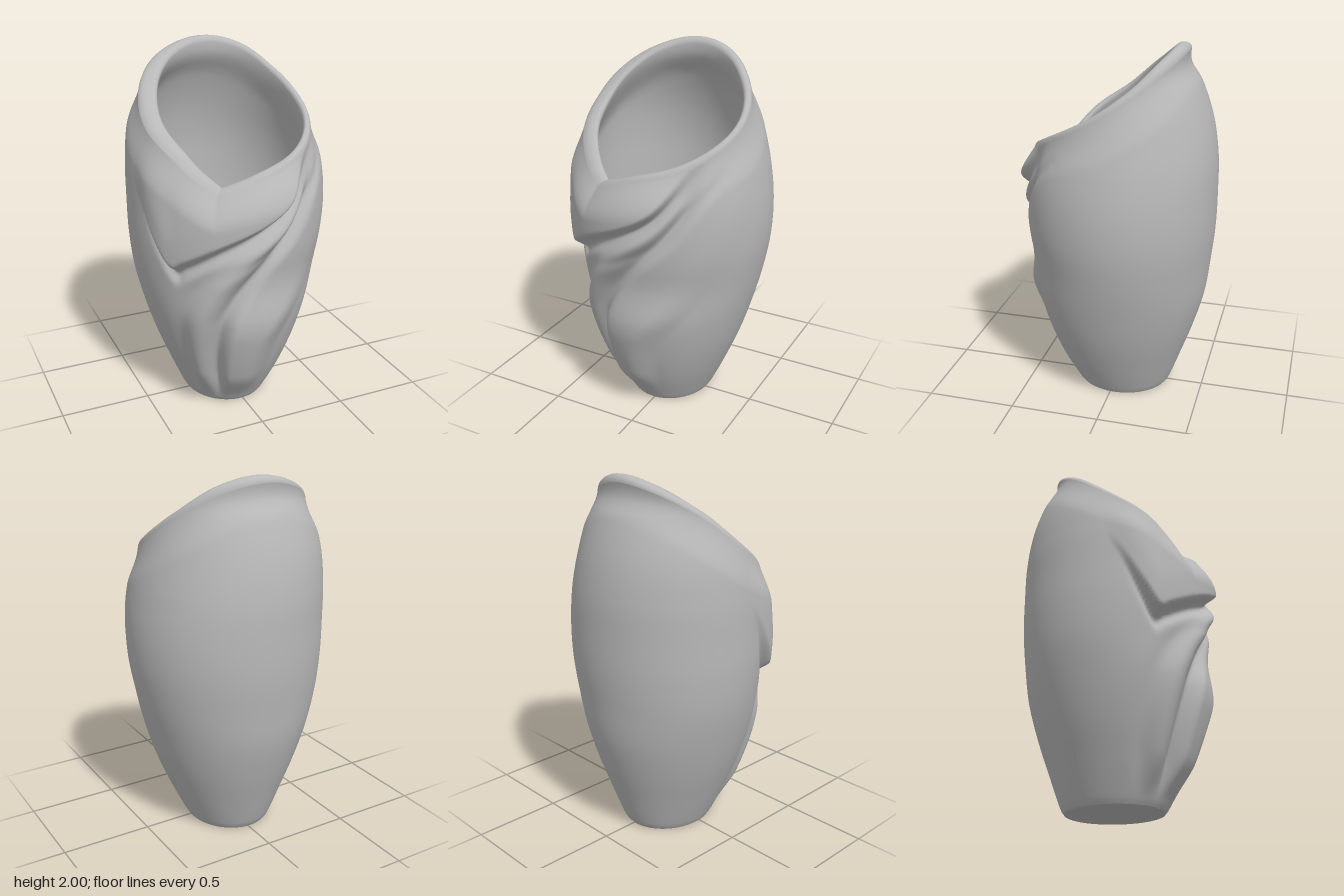
import * as THREE from 'three';

const DEG = Math.PI / 180;
const { smoothstep, lerp } = THREE.MathUtils;
const gauss = (d, w) => Math.exp(-(d * d) / (w * w));

// Smooth interpolation through rows of [key, value, value, ...]
function sample(rows, k, col = 1) {
  const n = rows.length - 1;
  k = Math.min(Math.max(k, rows[0][0]), rows[n][0]);
  let i = 0;
  while (i < n - 1 && k > rows[i + 1][0]) i++;
  const slope = (p, q) => (rows[q][col] - rows[p][col]) / (rows[q][0] - rows[p][0]);
  const m0 = slope(Math.max(i - 1, 0), i + 1);
  const m1 = slope(i, Math.min(i + 2, n));
  const h = rows[i + 1][0] - rows[i][0];
  const t = (k - rows[i][0]) / h, t2 = t * t, t3 = t2 * t;
  return (2 * t3 - 3 * t2 + 1) * rows[i][col] + (t3 - 2 * t2 + t) * h * m0
    + (3 * t2 - 2 * t3) * rows[i + 1][col] + (t3 - t2) * h * m1;
}

// Body cross-sections: height, centre x, centre z, radius x, radius z
const BODY = [
  [0, -0.012, -0.025, 0.228, 0.262], [0.025, -0.012, -0.025, 0.243, 0.28],
  [0.2, -0.009, -0.012, 0.322, 0.357], [0.4, -0.008, -0.01, 0.402, 0.428],
  [0.6, -0.008, -0.014, 0.464, 0.478], [0.8, -0.006, -0.024, 0.512, 0.494],
  [1, 0, -0.022, 0.54, 0.515], [1.2, 0, -0.02, 0.545, 0.52],
  [1.4, -0.012, -0.02, 0.532, 0.513], [1.6, -0.025, -0.02, 0.5, 0.478],
  [1.8, -0.02, 0, 0.457, 0.428], [1.9, -0.01, 0, 0.423, 0.37], [2, 0, 0, 0.4, 0.34],
];
const LIP_OUT = [0, -0.025, 0.048, 0.462, 0.416];
const LIP_TOP = [0, 0.003, 0.047, 0.412, 0.372];
const LIP_IN = [0, 0.005, 0.055, 0.39, 0.345];

// Rim height by angle from the front, starting and ending at the pointed notch
const NOTCH = -28;
const RIM = [
  [-28, 1.36], [0, 1.43], [30, 1.495], [60, 1.585], [90, 1.69], [120, 1.82], [150, 1.95],
  [180, 2], [210, 1.955], [240, 1.84], [270, 1.68], [300, 1.545], [315, 1.455], [332, 1.36],
];
// Lower edge of the wrapped collar: angle, height
const COLLAR = [
  [-95, 1.5], [-75, 1.25], [-62, 1.04], [-52, 0.91], [-45, 0.94], [-25, 1.04],
  [0, 1.15], [12, 1.22], [28, 1.36], [42, 1.48], [58, 1.6],
];
// Crease and ridge of the large diagonal fold: height, angle
const CREASE = [[0, -30], [0.3, -31], [0.6, -25], [0.75, -15], [0.92, 0], [1.12, 21], [1.4, 42], [1.6, 58]];
const RIDGE = [[0, 0], [0.3, 0], [0.5, 6], [0.72, 24], [1, 45], [1.3, 65], [1.6, 80]];

// Outward displacement of the drapery folds
function folds(deg, y) {
  if (deg > 180) deg -= 360;
  if (deg < -100 || deg > 110) return 0;
  const arc = 0.5 * DEG;
  const low = smoothstep(y, 0.02, 0.25);
  // collar roll with an undercut beneath it
  const d1 = y - sample(COLLAR, deg);
  const side = smoothstep(deg, -84, -54) * (1 - smoothstep(deg, 12, 62));
  let out = side * 0.047 * smoothstep(d1, -0.012, 0.05) * (1 - 0.5 * smoothstep(d1, 0.15, 0.5));
  const under = smoothstep(deg, -75, -50) * (1 - smoothstep(deg, 35, 66));
  out -= under * 0.03 * gauss(d1 + 0.025, 0.04);
  // narrow secondary roll below the collar
  const right = smoothstep(deg, -35, 10) * (1 - smoothstep(deg, 45, 68));
  out -= right * 0.014 * gauss(d1 + 0.15, 0.035);
  // large fold between the crease and the ridge
  const d2 = (deg - sample(CREASE, y)) * arc;
  const d3 = (deg - sample(RIDGE, y)) * arc;
  const high = 1 - smoothstep(y, 1.25, 1.6);
  const swell = low * high * lerp(0.046, 0.006, smoothstep(y, 0.5, 0.9));
  out += swell * smoothstep(d2, -0.01, 0.09) * (1 - smoothstep(d3, -0.06, 0.16));
  out -= low * high * 0.03 * gauss(d2 + 0.01, 0.045);
  // panel between the collar and the large fold
  const below = low * (1 - smoothstep(d1, -0.05, 0));
  out += below * 0.033 * gauss(d2 + 0.13, 0.075) * (1 - smoothstep(y, 1.1, 1.4));
  out -= below * 0.01 * gauss(d2 + 0.25, 0.06) * (1 - smoothstep(y, 0.8, 1));
  return out;
}

// Point [x, z] on an elliptical ring [key, cx, cz, rx, rz]
function onRing(ring, deg, grow = 0) {
  return [ring[1] + (ring[3] + grow) * Math.sin(deg * DEG), ring[2] + (ring[4] + grow) * Math.cos(deg * DEG)];
}

// Point on the rounded lip, phi turning from the top towards the given ring
function lipPoint(deg, h, ring, phi, drop) {
  const p = onRing(LIP_TOP, deg), q = onRing(ring, deg), t = Math.sin(phi);
  return [lerp(p[0], q[0], t), h - drop * (1 - Math.cos(phi)), lerp(p[1], q[1], t)];
}

// The lip is softer and merges into the collar at the front and left
const frontness = (deg) => Math.max(0, Math.cos((deg + 35) * DEG));
const outerLip = (deg, h, t) => {
  const f = frontness(deg);
  return lipPoint(deg, h, LIP_OUT, t * lerp(90, 54, f) * DEG, 0.035 + 0.04 * f);
};
const innerLip = (deg, h, t) => lipPoint(deg, h, LIP_IN, t * 90 * DEG, 0.035);

// Wall point that curves from the body into the edge of the lip
function wallPoint(deg, y, edge, inset) {
  const ring = [y, ...[1, 2, 3, 4].map((c) => sample(BODY, y, c))];
  const u = Math.min(Math.max((edge[1] - y) / 0.18, 0), 1);
  const w = Math.sin(u * Math.PI / 2);
  const b = onRing(ring, deg, folds(deg, y) - inset);
  return [lerp(edge[0], b[0], w), y, lerp(edge[2], b[1], w)];
}

function vaseGeometry() {
  const cols = 240, outerRows = 130, innerRows = 50, floorY = 0.07;
  const pos = [], index = [];
  let rows = 0;
  const addRow = (point) => {
    for (let i = 0; i < cols; i++) {
      const deg = NOTCH + (i / cols) * 360;
      pos.push(...point(deg, sample(RIM, deg)));
    }
    rows++;
  };
  // outer wall
  for (let j = 0; j <= outerRows; j++) {
    const s = 1 - Math.pow(1 - j / outerRows, 1.3);
    addRow((deg, h) => {
      const edge = outerLip(deg, h, 1);
      return wallPoint(deg, edge[1] * s, edge, 0);
    });
  }
  // rounded lip, over the top and down to the inner edge
  for (const t of [0.75, 0.5, 0.25, 0]) addRow((deg, h) => outerLip(deg, h, t));
  for (const t of [0.25, 0.5, 0.75]) addRow((deg, h) => innerLip(deg, h, t));
  // inner wall
  for (let j = 0; j <= innerRows; j++) {
    addRow((deg, h) => {
      const edge = innerLip(deg, h, 1);
      return wallPoint(deg, lerp(edge[1], floorY, j / innerRows), edge, 0.07);
    });
  }
  for (let j = 0; j < rows - 1; j++) {
    for (let i = 0; i < cols; i++) {
      const k = (i + 1) % cols;
      const a = j * cols + i, b = j * cols + k, c = b + cols, d = a + cols;
      index.push(a, b, c, a, c, d);
    }
  }
  // inner floor
  const last = (rows - 1) * cols, centre = rows * cols;
  pos.push(-0.01, floorY, -0.025);
  for (let i = 0; i < cols; i++) index.push(last + i, last + ((i + 1) % cols), centre);

  const geo = new THREE.BufferGeometry();
  geo.setAttribute('position', new THREE.Float32BufferAttribute(pos, 3));
  geo.setIndex(index);
  geo.computeVertexNormals();
  return geo;
}

export function createModel() {
  const model = new THREE.Group();
  model.name = 'drapedVase';
  const clay = new THREE.MeshStandardMaterial({ color: 0xb8b8b8 });
  clay.name = 'grey clay';

  const vase = new THREE.Mesh(vaseGeometry(), clay);
  vase.name = 'vaseWall';

  // flat underside
  const baseGeo = new THREE.CircleGeometry(1, 80).rotateX(Math.PI / 2).scale(0.228, 1, 0.262);
  const base = new THREE.Mesh(baseGeo, clay);
  base.position.set(-0.012, 0, -0.025);
  base.name = 'base';

  model.add(vase, base);
  return model;
}
